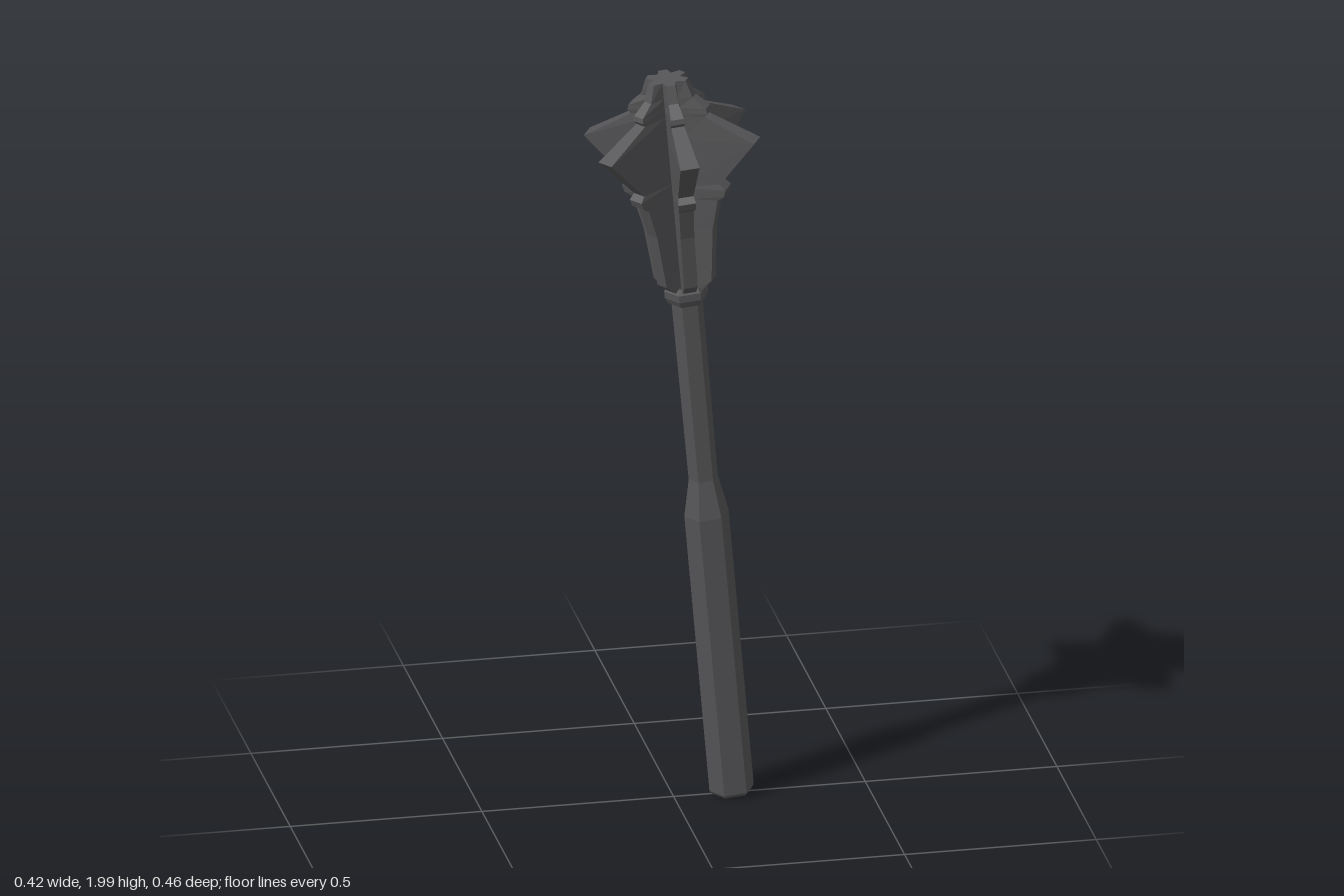
import * as THREE from 'three';

const steel = new THREE.MeshStandardMaterial({ color: 0x555557, flatShading: true });
steel.name = 'dark steel';

// six-sided turned part, corners towards +x and -x; profile is [radius, height]
function hexLathe(name, profile) {
  const points = profile.map(([r, y]) => new THREE.Vector2(r, y));
  const mesh = new THREE.Mesh(new THREE.LatheGeometry(points, 6, Math.PI / 2), steel);
  mesh.name = name;
  return mesh;
}

// one flange: stacked wedge sections [height, reach, half thickness] along +z
function flangeGeometry(sections) {
  const inner = 0.0175;
  const root = inner * Math.sqrt(3); // neighbouring flanges meet here
  const rings = sections.map(([y, r, w]) => [
    [0, y, 0], [-inner, y, root], [-w, y, r], [w, y, r], [inner, y, root],
  ]);
  const pos = [];
  const tri = (a, b, c) => pos.push(...a, ...b, ...c);
  for (let s = 0; s < rings.length - 1; s++) {
    const lo = rings[s], hi = rings[s + 1];
    for (let i = 1; i < 4; i++) {
      tri(lo[i], lo[i + 1], hi[i + 1]);
      tri(lo[i], hi[i + 1], hi[i]);
    }
  }
  // end caps
  const bottom = rings[0], top = rings[rings.length - 1];
  for (let i = 1; i < 4; i++) {
    tri(top[0], top[i], top[i + 1]);
    tri(bottom[0], bottom[i + 1], bottom[i]);
  }
  const geo = new THREE.BufferGeometry();
  geo.setAttribute('position', new THREE.Float32BufferAttribute(pos, 3));
  geo.computeVertexNormals();
  return geo;
}

export function createModel() {
  const model = new THREE.Group();
  model.name = 'flangedMace';

  // grip, shoulder and slim shaft
  model.add(hexLathe('grip', [
    [0, 0], [0.053, 0], [0.058, 0.008], [0.058, 0.775], [0.054, 0.795],
    [0.038, 0.875], [0, 0.875],
  ]));
  model.add(hexLathe('shaft', [[0.038, 0.87], [0.041, 1.42]]));
  model.add(hexLathe('collar', [
    [0.04, 1.365], [0.05, 1.37], [0.057, 1.385], [0.057, 1.404], [0.049, 1.416], [0, 1.418],
  ]));

  // head of six flanges with a rib below and above the point
  const flange = flangeGeometry([
    [1.41, 0.05, 0.017], [1.435, 0.078, 0.018], [1.58, 0.094, 0.018],
    [1.662, 0.115, 0.019], [1.674, 0.134, 0.022], [1.693, 0.14, 0.023],
    [1.708, 0.126, 0.02], [1.828, 0.23, 0.025], [1.893, 0.1, 0.017],
    [1.903, 0.108, 0.018], [1.916, 0.105, 0.017], [1.945, 0.07, 0.013],
    [1.99, 0.054, 0.011],
  ]);
  const head = new THREE.Group();
  head.name = 'head';
  for (let i = 0; i < 6; i++) {
    const mesh = new THREE.Mesh(flange, steel);
    mesh.name = 'flange' + (i + 1);
    mesh.rotation.y = (i * Math.PI) / 3;
    head.add(mesh);
  }
  model.add(head);

  // the whole mace leans slightly
  model.rotation.z = 0.0855;
  model.position.set(0.152, 0.008, 0);
  const group = new THREE.Group();
  group.name = 'mace';
  group.add(model);
  return group;
}
